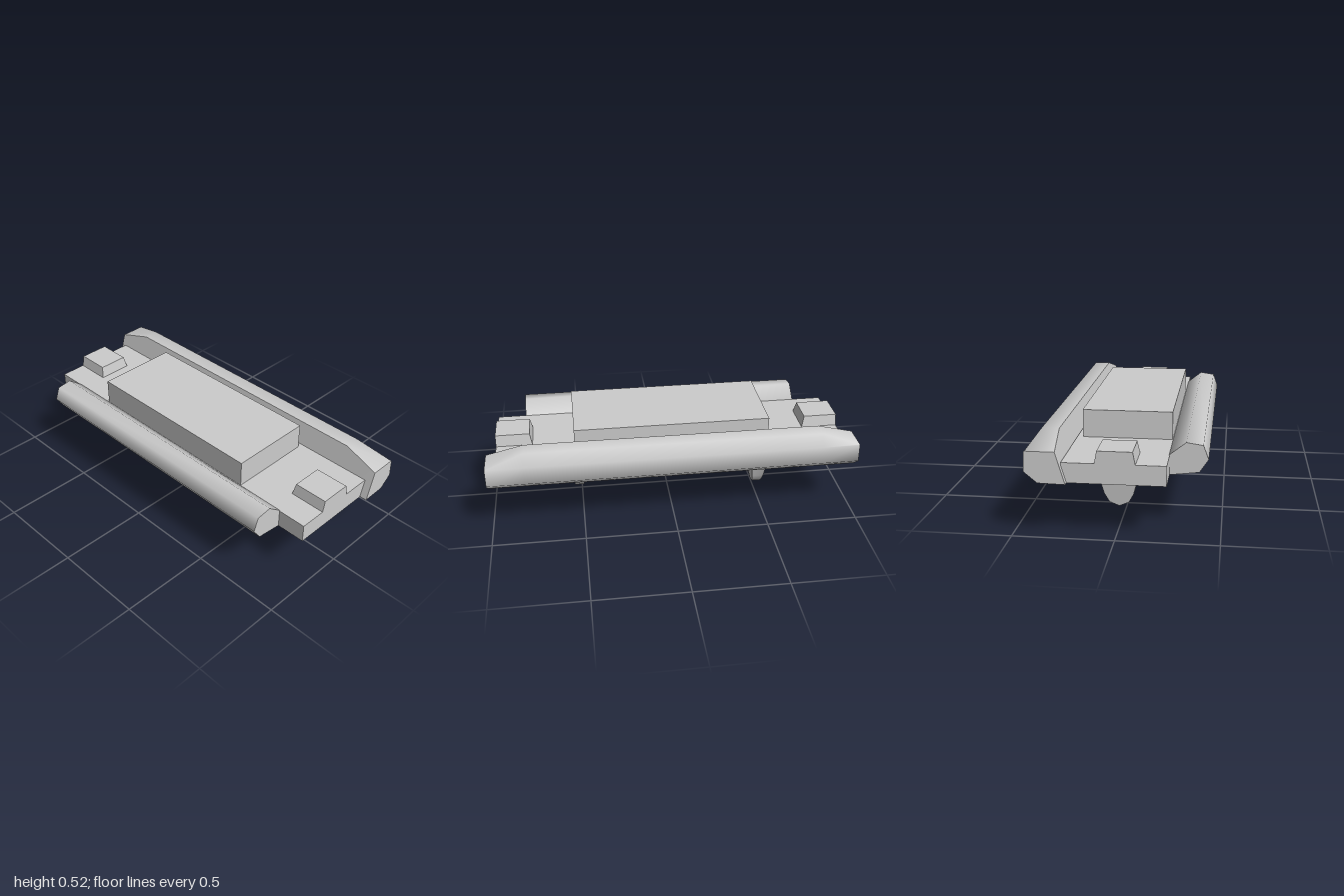
import * as THREE from 'three';
import { toCreasedNormals } from 'three/addons/utils/BufferGeometryUtils.js';

const CREASE = THREE.MathUtils.degToRad(65);

// Move every vertex of a geometry by a rule
function reshape(geometry, rule) {
  const p = geometry.attributes.position;
  const v = new THREE.Vector3();
  for (let i = 0; i < p.count; i++) {
    rule(v.fromBufferAttribute(p, i));
    p.setXYZ(i, v.x, v.y, v.z);
  }
  return geometry;
}

// Extrude a (z, y) profile along x, centred on x = 0
function prism(profile, length, steps = 1) {
  const shape = new THREE.Shape(profile.map(([z, y]) => new THREE.Vector2(z, y)));
  return new THREE.ExtrudeGeometry(shape, { depth: length, steps, bevelEnabled: false })
    .translate(0, 0, -length / 2)
    .rotateY(-Math.PI / 2);
}

export function createModel() {
  const group = new THREE.Group();
  const grey = new THREE.MeshStandardMaterial({ color: 0xcccccc });
  grey.name = 'light grey';

  function add(name, geometry, x = 0, y = 0, z = 0) {
    const mesh = new THREE.Mesh(geometry, grey);
    mesh.name = name;
    mesh.position.set(x, y, z);
    group.add(mesh);
  }

  // Base plate and raised centre block
  add('basePlate', new THREE.BoxGeometry(1.93, 0.1, 0.5), -0.005, 0.321, -0.007);
  add('centreBlock', new THREE.BoxGeometry(1.07, 0.146, 0.464), -0.005, 0.443, 0.005);

  // Rounded front bar
  const frontProfile = [[0.24, 0.272], [0.387, 0.29], [0.431, 0.355],
    [0.405, 0.426], [0.322, 0.438], [0.24, 0.373]];
  add('frontBar', toCreasedNormals(prism(frontProfile, 1.605), CREASE));

  // Rear rail, its top sloping down at both ends
  const rearProfile = [[-0.231, 0.272], [-0.295, 0.488], [-0.382, 0.488],
    [-0.426, 0.426], [-0.431, 0.33], [-0.365, 0.275]];
  const rail = reshape(prism(rearProfile, 2, 10), (v) => {
    if (Math.abs(v.x) > 0.9 && v.y > 0.45) {
      v.z = v.z > -0.34 ? -0.278 : -0.422;
      v.y = 0.43;
    }
  });
  add('rearRail', toCreasedNormals(rail, CREASE));

  // Legs: rounded tips, thinning downward, set at different depths
  const legProfile = [[-0.133, 0.275], [-0.078, 0.07], [-0.051, 0.022], [0, 0],
    [0.051, 0.022], [0.077, 0.07], [0.133, 0.275]];
  for (const [name, x, z] of [['leftLeg', 0.515, 0.049], ['rightLeg', -0.525, -0.04]]) {
    const leg = reshape(prism(legProfile, 2), (v) => {
      v.x *= 0.023 + 0.035 * v.y / 0.272;
    });
    add(name, toCreasedNormals(leg, CREASE), x, 0, z);
  }

  // End blocks with sloping inner, front and back faces
  for (const [name, x, side] of [['leftEndBlock', 0.86, 1], ['rightEndBlock', -0.87, -1]]) {
    const block = reshape(new THREE.BoxGeometry(0.2, 0.063, 0.195), (v) => {
      if (v.y > 0) {
        v.z *= 0.87;
        if (v.x * side < 0) v.x += 0.013 * side;
      }
    });
    block.computeVertexNormals();
    add(name, block, x, 0.402, -0.001);
  }

  return group;
}
